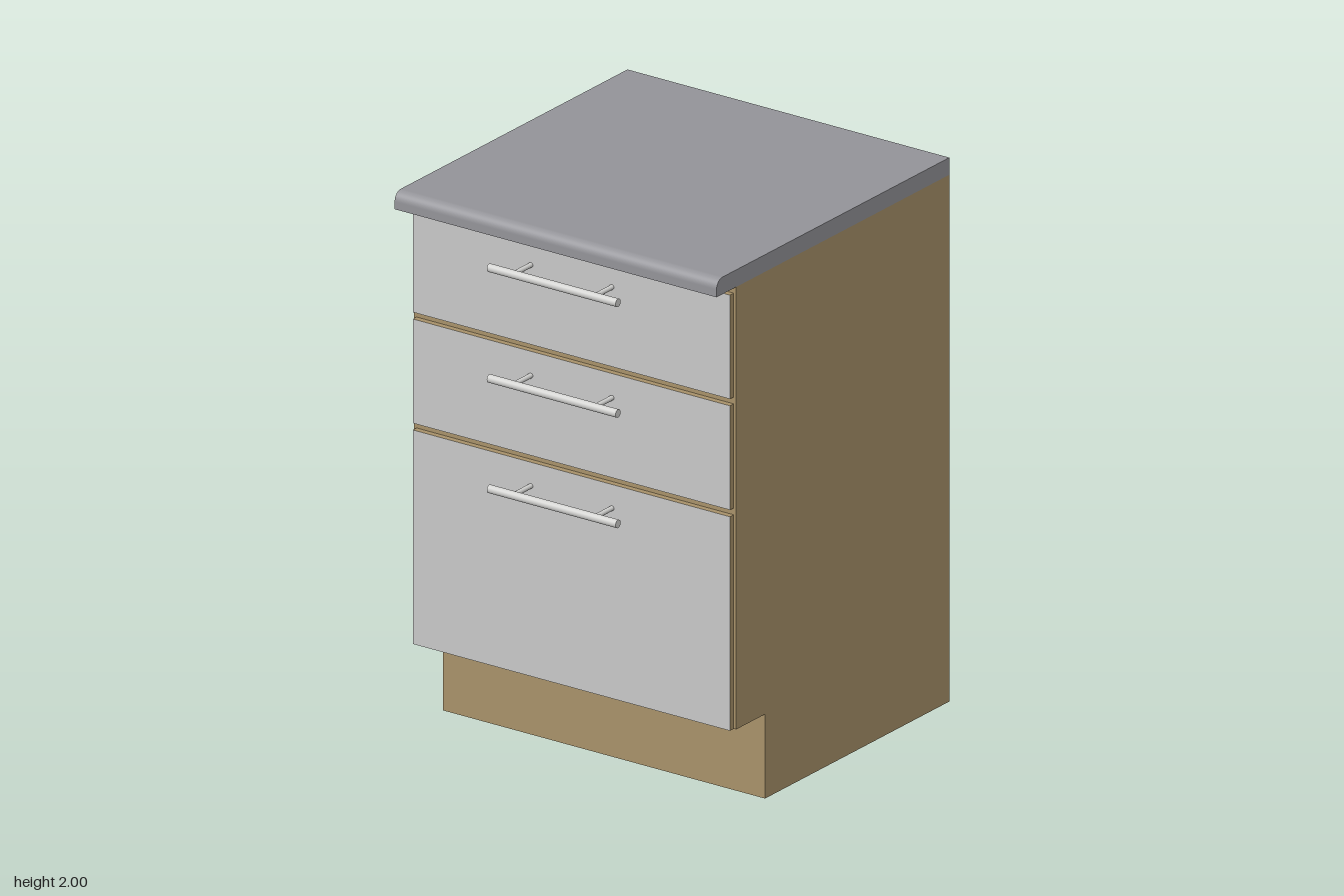
import * as THREE from 'three';

const mat = (name, color) => {
  const m = new THREE.MeshStandardMaterial({ color });
  m.name = name;
  return m;
};

// Extrude a (z, y) side profile across the full width, centred on x = 0
function extrudeAcross(shape, width) {
  const geo = new THREE.ExtrudeGeometry(shape, { depth: width, bevelEnabled: false, curveSegments: 10 });
  geo.translate(0, 0, -width / 2);
  geo.rotateY(-Math.PI / 2);
  return geo;
}

export function createModel() {
  const wood = mat('tan wood', 0xa8926a);
  const panel = mat('light grey front', 0xc8c8c8);
  const stone = mat('grey worktop', 0x949499);
  const metal = mat('pale metal', 0xd2d2d0);

  const group = new THREE.Group();
  group.name = 'drawerCabinet';
  const add = (parent, name, geo, material, x = 0, y = 0, z = 0) => {
    const mesh = new THREE.Mesh(geo, material);
    mesh.name = name;
    mesh.position.set(x, y, z);
    parent.add(mesh);
    return mesh;
  };

  const width = 1.35, back = -0.69, front = 0.55, worktopY = 1.937;

  // Carcass with a recessed toe kick
  const side = new THREE.Shape([
    [back, 0], [0.382, 0], [0.382, 0.31], [front, 0.31], [front, worktopY], [back, worktopY],
  ].map(([z, y]) => new THREE.Vector2(z, y)));
  add(group, 'carcass', extrudeAcross(side, width), wood);

  // Worktop with a rounded upper front edge
  const r = 0.035, lip = 0.664;
  const top = new THREE.Shape();
  top.moveTo(back, worktopY);
  top.lineTo(lip, worktopY);
  top.lineTo(lip, 2 - r);
  top.absarc(lip - r, 2 - r, r, 0, Math.PI / 2, false);
  top.lineTo(back, 2);
  top.closePath();
  add(group, 'worktop', extrudeAcross(top, width), stone);

  // Drawers: bottom, top and handle heights
  const drawers = [
    ['topDrawer', 1.53, 1.912, 1.823],
    ['middleDrawer', 1.122, 1.505, 1.416],
    ['bottomDrawer', 0.31, 1.097, 1.01],
  ];
  const face = 0.572, barZ = 0.675, barR = 0.015;
  for (const [name, y0, y1, handleY] of drawers) {
    const drawer = new THREE.Group();
    drawer.name = name;
    group.add(drawer);

    // Wooden edges with a grey front face
    const depth = face - front;
    add(drawer, 'drawerFront', new THREE.BoxGeometry(1.33, y1 - y0, depth),
      [wood, wood, wood, wood, panel, wood], 0, (y0 + y1) / 2, front + depth / 2);

    // Bar handle on two posts
    const handle = new THREE.Group();
    handle.name = 'handle';
    handle.position.y = handleY;
    drawer.add(handle);
    add(handle, 'handleBar', new THREE.CylinderGeometry(barR, barR, 0.54, 20).rotateZ(Math.PI / 2),
      metal, 0, 0, barZ);
    for (const s of [-1, 1]) {
      add(handle, 'handlePost',
        new THREE.CylinderGeometry(0.009, 0.009, barZ - face, 14).rotateX(Math.PI / 2),
        metal, s * 0.17, 0, (barZ + face) / 2);
    }
  }
  return group;
}
